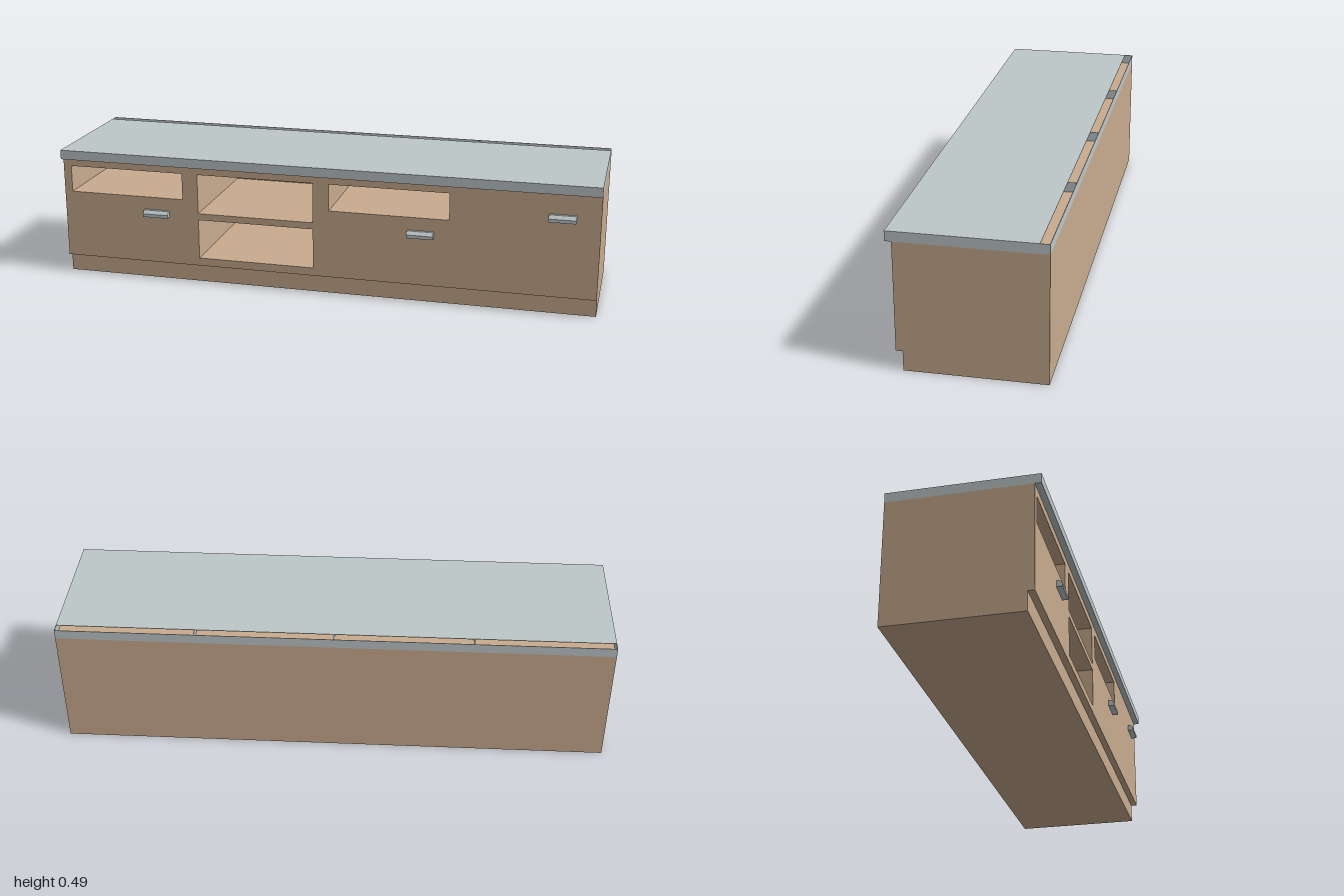
import * as THREE from 'three';

export function createModel() {
  const group = new THREE.Group();
  const wood = new THREE.MeshStandardMaterial({ color: 0xc8ab8e });
  wood.name = 'wood';
  const grey = new THREE.MeshStandardMaterial({ color: 0xbec7c9 });
  grey.name = 'pale grey';

  const add = (name, geometry, material) => {
    const mesh = new THREE.Mesh(geometry, material);
    mesh.name = name;
    group.add(mesh);
    return mesh;
  };
  // box given by its lower and upper limits
  const box = (name, material, x0, x1, y0, y1, z0, z1) =>
    add(name, new THREE.BoxGeometry(x1 - x0, y1 - y0, z1 - z0), material)
      .position.set((x0 + x1) / 2, (y0 + y1) / 2, (z0 + z1) / 2);
  const rect = (path, x0, x1, y0, y1) =>
    path.moveTo(x0, y0).lineTo(x1, y0).lineTo(x1, y1).lineTo(x0, y1).closePath();

  const back = -0.262, inner = -0.232, front = 0.24, lip = 0.262;
  const bodyTop = 0.455, top = 0.49, plinthTop = 0.07;

  // carcass with open compartments
  const face = rect(new THREE.Shape(), -1, 1, plinthTop, bodyTop);
  const openings = [
    [-0.97, -0.53, 0.325, 0.425],
    [-0.47, -0.03, 0.275, 0.425],
    [-0.47, -0.03, 0.1, 0.25],
    [0.03, 0.47, 0.325, 0.425],
  ];
  for (const o of openings) face.holes.push(rect(new THREE.Path(), ...o));
  add('carcass', new THREE.ExtrudeGeometry(face, { depth: front - inner, bevelEnabled: false }), wood)
    .position.z = inner;
  box('backPanel', wood, -1, 1, 0, bodyTop, back, inner);
  box('plinth', wood, -1, 1, 0, plinthTop, inner, 0.217);

  // hollow worktop with an open slot along the back
  const t = 0.002;
  box('worktop', grey, -1, 1, top - t, top, -0.23, lip);
  box('worktopFrontEdge', grey, -1, 1, bodyTop, top - t, front, lip);
  box('worktopBackEdge', grey, -1, 1, bodyTop, top, back, back + t);
  for (const x of [-1 + t / 2, -0.5, 0, 0.5, 1 - t / 2])
    box('worktopRib', grey, x - t / 2, x + t / 2, bodyTop, top, back, lip);

  // chamfered handles, profile drawn in z and y
  const profile = new THREE.Shape([
    [0, 0], [0.022, 0], [0.022, 0.012], [0.011, 0.024], [0, 0.024],
  ].map(([z, y]) => new THREE.Vector2(z, y)));
  const width = 0.097;
  const handle = new THREE.ExtrudeGeometry(profile, { depth: width, bevelEnabled: false });
  handle.rotateY(-Math.PI / 2).scale(1, 1, 1);
  for (const [x, y] of [[-0.632, 0.253], [0.368, 0.253], [0.868, 0.353]])
    add('handle', handle, grey).position.set(x + width / 2, y, front);

  return group;
}
